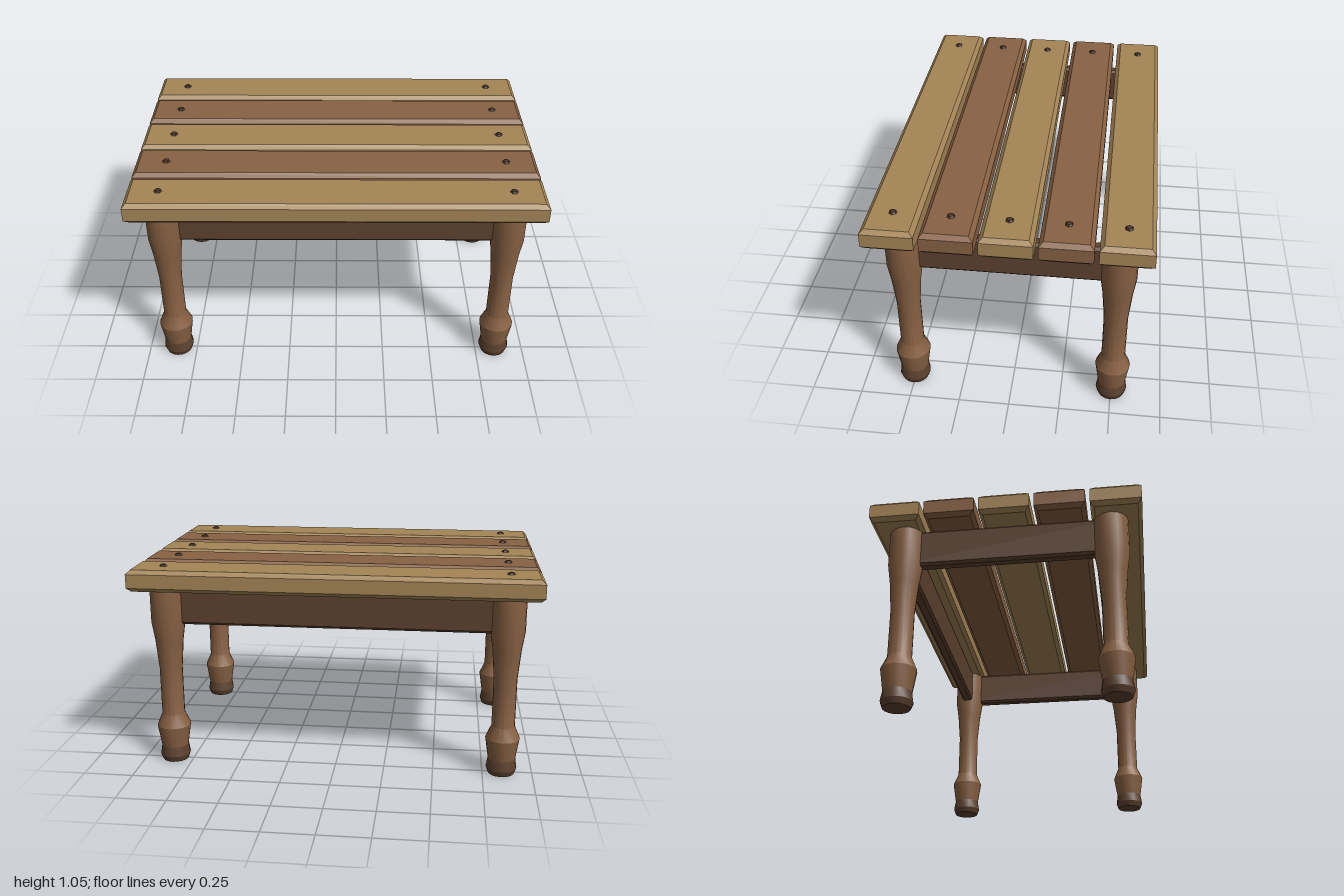
import * as THREE from 'three';
import { toCreasedNormals } from 'three/addons/utils/BufferGeometryUtils.js';
import { ConvexGeometry } from 'three/addons/geometries/ConvexGeometry.js';

function material(name, color) {
  const m = new THREE.MeshStandardMaterial({ color });
  m.name = name;
  return m;
}

// Board with its top and bottom rims chamfered
function boardGeometry(w, h, d, bevel) {
  const points = [];
  for (const sx of [-1, 1]) for (const sy of [-1, 1]) for (const sz of [-1, 1]) {
    points.push(
      new THREE.Vector3(sx * w / 2, sy * (h / 2 - bevel), sz * d / 2),
      new THREE.Vector3(sx * (w / 2 - bevel), sy * h / 2, sz * (d / 2 - bevel)));
  }
  return new ConvexGeometry(points);
}

// Turned piece from [radius, height] pairs, bottom to top
function turned(profile) {
  const pts = profile.map(([r, y]) => new THREE.Vector2(r, y));
  return toCreasedNormals(new THREE.LatheGeometry(pts, 16), 0.5);
}

export function createModel() {
  const group = new THREE.Group();
  group.name = 'plankTable';
  const lightWood = material('lightWood', 0xa58557);
  const midWood = material('midWood', 0x886143);
  const darkWood = material('darkWood', 0x5c412f);
  const boltMetal = material('darkBolt', 0x4a3226);

  const add = (name, geometry, mat, x, y, z, parent = group) => {
    const mesh = new THREE.Mesh(geometry, mat);
    mesh.name = name;
    mesh.position.set(x, y, z);
    parent.add(mesh);
    return mesh;
  };

  const legX = 0.845, legZ = 0.502;

  // Five top planks in alternating wood, each with a bolt at either end
  const plank = boardGeometry(2, 0.108, 0.245, 0.02);
  const bolt = new THREE.SphereGeometry(0.02, 6, 4).toNonIndexed();
  bolt.scale(1, 0.65, 1);
  bolt.computeVertexNormals();
  for (let i = -2; i <= 2; i++) {
    const z = i * 0.2667;
    add('topPlank', plank, i % 2 ? midWood : lightWood, 0, 0.979, z);
    for (const s of [-1, 1]) add('bolt', bolt, boltMetal, s * legX, 1.033, z);
  }

  // Turned legs with dark feet
  const legGeometry = turned([
    [0.069, 0.08], [0.086, 0.19], [0.058, 0.255], [0.058, 0.5],
    [0.071, 0.65], [0.085, 0.745], [0.085, 0.926]]);
  const footGeometry = turned([[0, 0], [0.066, 0], [0.077, 0.03], [0.069, 0.08], [0, 0.08]]);
  for (const sx of [-1, 1]) for (const sz of [-1, 1]) {
    const leg = new THREE.Group();
    leg.name = 'leg';
    leg.position.set(sx * legX, 0, sz * legZ);
    add('turnedLeg', legGeometry, midWood, 0, 0, 0, leg);
    add('foot', footGeometry, darkWood, 0, 0, 0, leg);
    group.add(leg);
  }

  // Apron rails joining the legs
  const longRail = boardGeometry(legX * 2, 0.195, 0.06, 0.013);
  const shortRail = boardGeometry(0.06, 0.195, legZ * 2, 0.013);
  for (const s of [-1, 1]) {
    add('longRail', longRail, darkWood, 0, 0.8325, s * legZ);
    add('shortRail', shortRail, darkWood, s * legX, 0.8325, 0);
  }

  return group;
}
